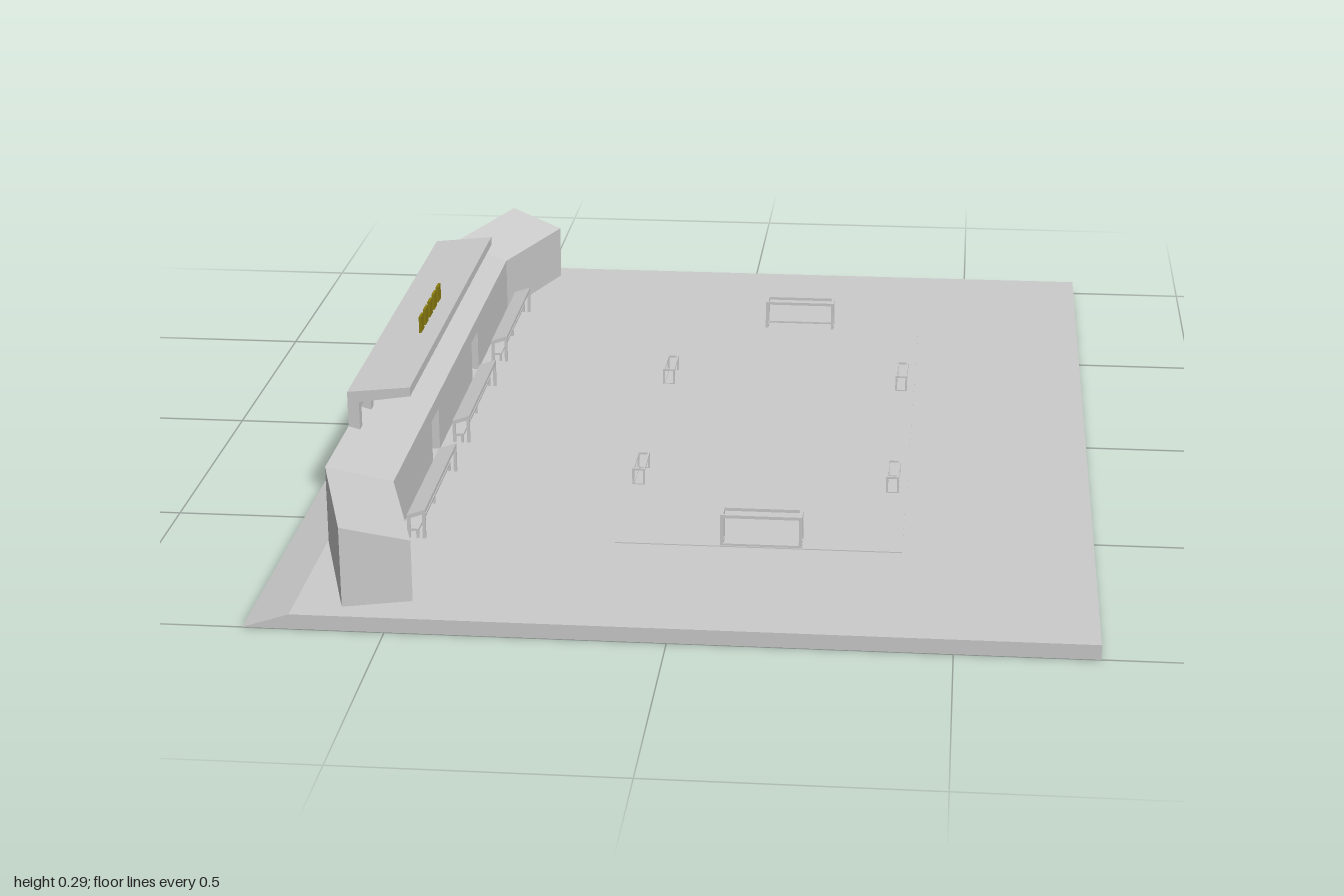
import * as THREE from 'three';

const GROUND = 0.028;

export function createModel() {
  const root = new THREE.Group();
  root.name = 'sportsField';
  const grey = new THREE.MeshStandardMaterial({ color: 0xcccccc, flatShading: true });
  const gold = new THREE.MeshStandardMaterial({ color: 0x8a7d10 });

  const add = (parent, name, geometry, material = grey) => {
    const mesh = new THREE.Mesh(geometry, material);
    mesh.name = name;
    parent.add(mesh);
    return mesh;
  };
  const group = (name, parent = root) => {
    const g = new THREE.Group();
    g.name = name;
    parent.add(g);
    return g;
  };
  // Box given by its limits on each axis
  const box = (parent, name, x0, x1, y0, y1, z0, z1, material) => {
    const mesh = add(parent, name, new THREE.BoxGeometry(x1 - x0, y1 - y0, z1 - z0), material);
    mesh.position.set((x0 + x1) / 2, (y0 + y1) / 2, (z0 + z1) / 2);
    return mesh;
  };
  // Profile in x, y drawn out along z
  const prism = (parent, name, points, z0, z1) => {
    const shape = new THREE.Shape(points.map(([x, y]) => new THREE.Vector2(x, y)));
    const geometry = new THREE.ExtrudeGeometry(shape, { depth: z1 - z0, bevelEnabled: false });
    geometry.translate(0, 0, z0);
    return add(parent, name, geometry);
  };

  // Ground slab with a ramp behind the stand, and the slightly raised pitch
  prism(root, 'groundSlab', [[-0.755, 0], [0.755, 0], [0.755, GROUND], [-0.67, GROUND]], -1, 1);
  box(root, 'pitch', -0.135, 0.4, GROUND - 0.004, GROUND + 0.002, -0.66, 0.635);

  // Stand wall: four-cornered sections with a sloping top, joined along z
  const stand = group('stand');
  const wall = (name, bottom, stations) => {
    const rings = stations.map(([xb, zb, xf, zf]) => [
      [xb, bottom, zb], [xf, bottom, zf], [xf, 0.145, zf], [xb, 0.18, zb],
    ]);
    const positions = [];
    const quad = (a, b, c, d) => positions.push(...a, ...b, ...c, ...a, ...c, ...d);
    for (let s = 0; s < rings.length - 1; s++) {
      for (let i = 0; i < 4; i++) {
        const j = (i + 1) % 4;
        quad(rings[s][i], rings[s][j], rings[s + 1][j], rings[s + 1][i]);
      }
    }
    const first = rings[0];
    quad(first[3], first[2], first[1], first[0]);
    quad(...rings[rings.length - 1]);
    const geometry = new THREE.BufferGeometry();
    geometry.setAttribute('position', new THREE.Float32BufferAttribute(positions, 3));
    geometry.computeVertexNormals();
    add(stand, name, geometry);
  };
  const BACK = -0.667, FRONT = -0.545;
  const straight = (z) => [BACK, z, FRONT, z];
  wall('standFarWing', GROUND, [
    [-0.573, -0.985, -0.457, -0.945], [BACK, -0.705, FRONT, -0.685], straight(-0.282)]);
  wall('standMiddle', GROUND, [straight(-0.203), straight(0.19)]);
  wall('standNearWing', GROUND, [
    straight(0.268), [BACK, 0.68, FRONT, 0.655], [-0.583, 0.96, -0.462, 0.925]]);
  wall('farPassageLintel', 0.115, [straight(-0.282), straight(-0.203)]);
  wall('nearPassageLintel', 0.115, [straight(0.19), straight(0.268)]);

  // Canopy on a row of posts along the back of the stand
  const canopy = group('canopy');
  prism(canopy, 'canopyRoof', [
    [BACK, 0.215], [-0.645, 0.215], [-0.645, 0.23], [FRONT, 0.245], [FRONT, 0.263], [BACK, 0.25],
  ], -0.49, 0.47);
  for (const z of [-0.48, -0.357, -0.244, -0.131, -0.024, 0.126, 0.239, 0.351, 0.459]) {
    box(canopy, 'canopyPost', BACK, -0.645, 0.165, 0.22, z - 0.011, z + 0.011);
  }
  // Plain gold plaques on the roof
  for (let i = 0; i < 5; i++) {
    const z = -0.06 + i * 0.0475;
    box(canopy, 'roofPlaque', -0.588, -0.583, 0.255, 0.292, z - 0.015, z + 0.015, gold);
  }

  // Three team shelters in front of the stand
  for (const [z0, z1] of [[-0.675, -0.335], [-0.185, 0.153], [0.303, 0.645]]) {
    const shelter = group('teamShelter');
    prism(shelter, 'shelterRoof', [
      [-0.525, 0.066], [-0.49, 0.078], [-0.49, 0.086], [-0.525, 0.074],
    ], z0, z1);
    box(shelter, 'shelterBench', -0.523, -0.503, 0.042, 0.047, z0, z1);
    for (const z of [z0, (z0 + z1) / 2 - 0.003, z1 - 0.006]) {
      box(shelter, 'shelterBackPost', -0.525, -0.519, GROUND, 0.07, z, z + 0.006);
      box(shelter, 'benchLeg', -0.508, -0.503, GROUND, 0.044, z, z + 0.006);
    }
    for (const z of [z0, z1 - 0.006]) {
      box(shelter, 'shelterFrontPost', -0.496, -0.49, GROUND, 0.08, z, z + 0.006);
    }
  }

  // Goal: open frame, mouth facing +z before turning
  const goal = (name, width, height, depth, t, x, z, turn) => {
    const g = group(name);
    g.position.set(x, GROUND, z);
    g.rotation.y = turn;
    const w = width / 2, d = depth / 2;
    for (const zz of [-d, d - t]) {
      for (const xx of [-w, w - t]) box(g, 'goalPost', xx, xx + t, 0, height, zz, zz + t);
      box(g, 'crossbar', -w, w, height - t, height, zz, zz + t);
    }
    for (const xx of [-w, w - t]) {
      box(g, 'topSideBar', xx, xx + t, height - t, height, -d, d);
      box(g, 'groundSideBar', xx, xx + t, 0, t, -d, d);
    }
    box(g, 'groundBackBar', -w, w, 0, t, -d, -d + t);
  };
  goal('largeGoal', 0.153, 0.063, 0.042, 0.006, 0.133, -0.625, 0);
  goal('largeGoal', 0.153, 0.063, 0.042, 0.006, 0.138, 0.612, Math.PI);
  for (const z of [-0.266, 0.304]) {
    goal('smallGoal', 0.09, 0.035, 0.025, 0.004, -0.123, z, Math.PI / 2);
    goal('smallGoal', 0.09, 0.035, 0.025, 0.004, 0.373, z, -Math.PI / 2);
  }

  return root;
}
